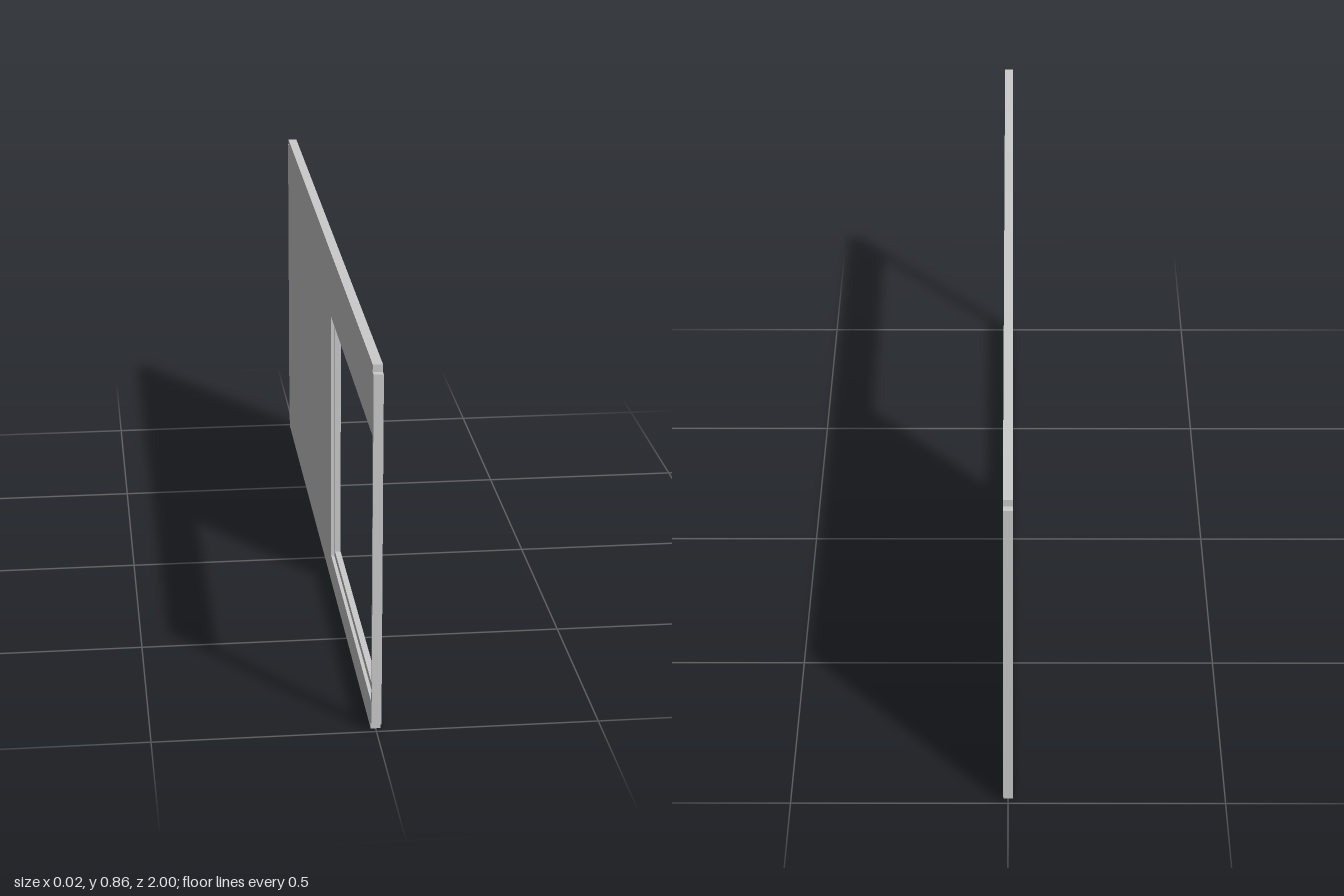
import * as THREE from 'three';

const HEIGHT = 0.855;
const HALF_LENGTH = 1;
const HALF_THICK = 0.011;
const NOTCH_Z = 0.016;
const NOTCH_Y = 0.017;
const REBATE_X = -0.003; // where the wider rebate meets the opening

// Long panel outline with a small square notch at each corner (u = -z)
function panelOutline() {
  const a = HALF_LENGTH, b = a - NOTCH_Z;
  const lo = NOTCH_Y, hi = HEIGHT - NOTCH_Y;
  return new THREE.Shape([
    [-b, 0], [b, 0], [b, lo], [a, lo], [a, hi], [b, hi],
    [b, HEIGHT], [-b, HEIGHT], [-b, hi], [-a, hi], [-a, lo], [-b, lo],
  ].map(([u, y]) => new THREE.Vector2(u, y)));
}

// One layer of the panel from x0 to x1 with a rectangular window
function panelLayer(name, x0, x1, zMin, zMax, yMin, yMax, material) {
  const shape = panelOutline();
  shape.holes.push(new THREE.Path([
    new THREE.Vector2(-zMax, yMin), new THREE.Vector2(-zMax, yMax),
    new THREE.Vector2(-zMin, yMax), new THREE.Vector2(-zMin, yMin),
  ]));
  const geometry = new THREE.ExtrudeGeometry(shape, { depth: x1 - x0, bevelEnabled: false });
  geometry.rotateY(Math.PI / 2);
  geometry.translate(x0, 0, 0);
  const mesh = new THREE.Mesh(geometry, material);
  mesh.name = name;
  return mesh;
}

export function createModel() {
  const group = new THREE.Group();
  group.name = 'windowPanel';
  const material = new THREE.MeshStandardMaterial({ color: 0xcccccc });

  // Outer face with the visible opening
  group.add(panelLayer('outerPanel', REBATE_X, HALF_THICK, 0.165, 0.99, 0.085, 0.68, material));
  // Inner face with the wider rebate around the opening
  group.add(panelLayer('innerPanel', -HALF_THICK, REBATE_X, 0.149, 0.99, 0.068, 0.695, material));

  return group;
}
